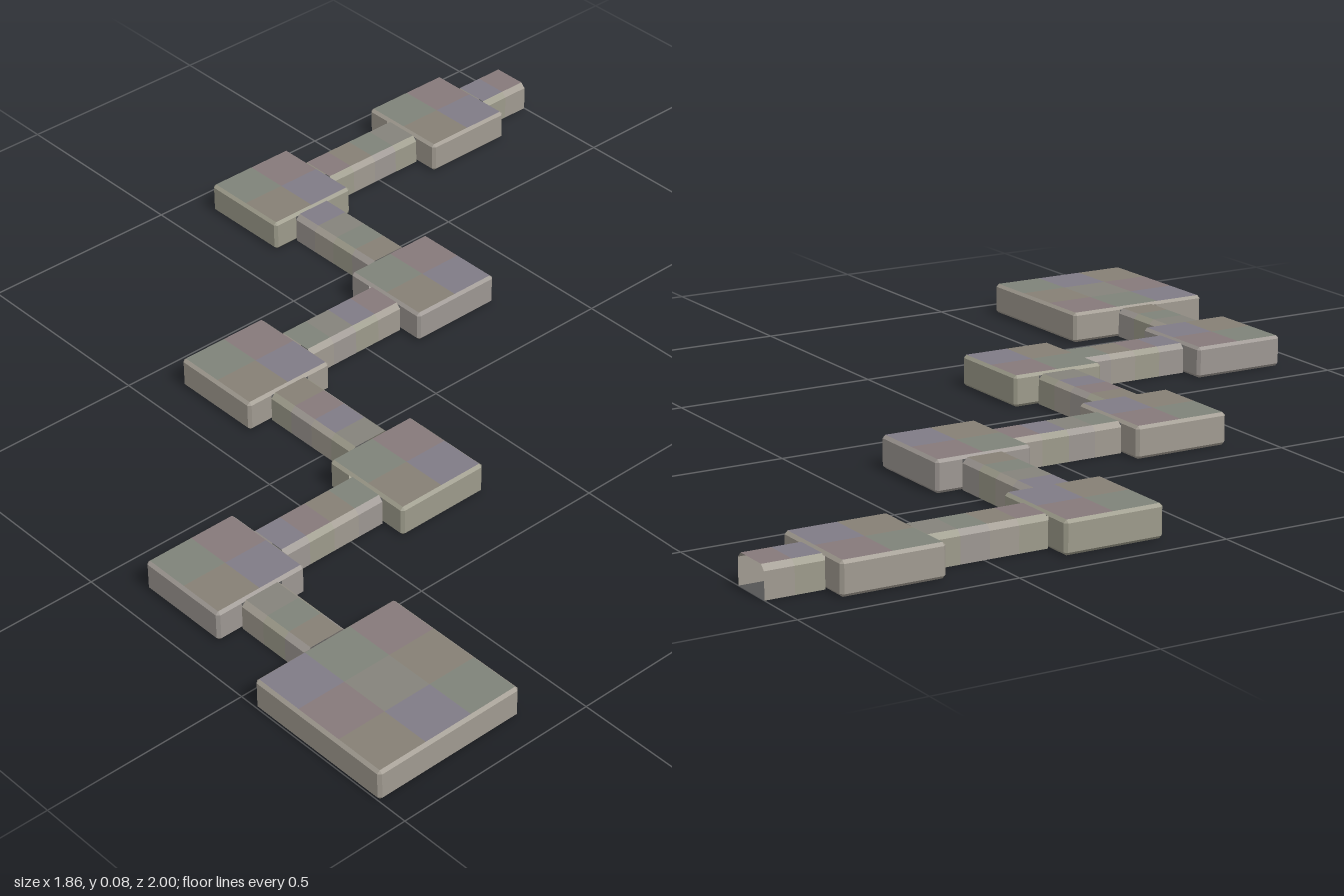
import * as THREE from 'three';

const H = 0.076;          // overall height
const BEVEL = 0.007;      // bevel around the rooms
const DOOR = 0.11;        // corridor and doorway width
const CEILINGS = [0x85837b, 0x86797a, 0x7f8379, 0x807b86, 0x868075];
const WALLS = [0xa09a90, 0x9c9691, 0x9c9a8a];
let tint = 0;
const next = (list) => list[tint++ % list.length];

const material = (color) =>
  new THREE.MeshStandardMaterial({ color, side: THREE.DoubleSide, flatShading: true });

function mesh(parent, name, geometry, color) {
  const m = new THREE.Mesh(geometry, material(color));
  m.name = name;
  parent.add(m);
  return m;
}

// Skin of quads between neighbouring loops; skip(layer, i) leaves an opening
function loft(loops, closed, skip = () => false) {
  const n = loops[0].length;
  const index = [];
  for (let k = 0; k < loops.length - 1; k++) {
    for (let i = 0; i < (closed ? n : n - 1); i++) {
      if (skip(k, i)) continue;
      const a = k * n + i, b = k * n + (i + 1) % n;
      index.push(a, b + n, b, a, a + n, b + n);
    }
  }
  const g = new THREE.BufferGeometry();
  g.setAttribute('position', new THREE.Float32BufferAttribute(loops.flat(2), 3));
  g.setIndex(index);
  g.computeVertexNormals();
  return g;
}

// Bevelled hollow room with full-height doorways on the sides listed in doors.
// Sides: 0 = +x, 1 = +z, 2 = -x, 3 = -z
function room(x, z, size, tiles, doors) {
  const group = new THREE.Group();
  group.name = 'room';
  group.position.set(x, 0, z);
  const h = size / 2, c = h - BEVEL, d = DOOR / 2;
  const ring = (y, r) => {
    const points = [];
    for (let s = 0; s < 4; s++) {
      const cos = [1, 0, -1, 0][s], sin = [0, 1, 0, -1][s];
      for (const t of [-c, -d, d, c]) points.push([r * cos - t * sin, y, r * sin + t * cos]);
    }
    return points;
  };
  const loops = [ring(0, c), ring(BEVEL, h), ring(H - BEVEL, h), ring(H, c)];
  const skip = (k, i) => k === 1 && i % 4 === 1 && doors.includes(i >> 2);
  mesh(group, 'roomWalls', loft(loops, true, skip), next(WALLS));

  // Floor slab and ceiling tiles
  mesh(group, 'roomFloor', new THREE.PlaneGeometry(2 * c, 2 * c).rotateX(Math.PI / 2), 0x555555);
  const t = 2 * c / tiles;
  for (let i = 0; i < tiles; i++) {
    for (let j = 0; j < tiles; j++) {
      const tile = mesh(group, 'ceilingTile', new THREE.PlaneGeometry(t, t).rotateX(-Math.PI / 2), next(CEILINGS));
      tile.position.set(-c + t * (i + 0.5), H, -c + t * (j + 0.5));
    }
  }
  return group;
}

// Open-ended corridor running along +z, with bevelled upper edges
function corridor(length) {
  const group = new THREE.Group();
  group.name = 'corridor';
  const w = DOOR / 2, top = H - 0.004, b = 0.012, segments = Math.max(1, Math.round(length / 0.07));
  const strip = (profile, z0, z1) =>
    loft([z0, z1].map((z) => profile.map(([x, y]) => [x, y, z])), false);
  for (let i = 0; i < segments; i++) {
    const z0 = length * i / segments, z1 = length * (i + 1) / segments;
    mesh(group, 'corridorCeiling', strip([[w - b, top], [b - w, top]], z0, z1), next(CEILINGS));
    const wall = next(WALLS);
    mesh(group, 'corridorWall', strip([[w, 0], [w, top - b], [w - b, top]], z0, z1), wall);
    mesh(group, 'corridorWall', strip([[b - w, top], [-w, top - b], [-w, 0]], z0, z1), wall);
  }
  mesh(group, 'corridorFloor', strip([[-w, 0], [w, 0]], 0, length), 0x555555);
  return group;
}

export function createModel() {
  const model = new THREE.Group();
  model.name = 'roomsAndCorridors';
  tint = 0;

  const X = [-0.81, -0.297, 0.217, 0.735], Z = [-0.745, -0.228, 0.287, 0.805];
  const S = 0.24, BIG = 0.382;
  // x, z, size, tiles per side, doorways
  const rooms = [
    [X[0], Z[0], S, 2, [1, 3]],
    [X[0], Z[1], S, 2, [0, 3]],
    [X[1], Z[1], S, 2, [1, 2]],
    [X[1], Z[2], S, 2, [0, 3]],
    [X[2], Z[2], S, 2, [1, 2]],
    [X[2], Z[3], S, 2, [0, 3]],
    [X[3], Z[3] + 0.004, BIG, 3, [2]],
  ];
  rooms.forEach((r) => model.add(room(...r)));

  // Corridors between consecutive rooms
  for (let i = 0; i < rooms.length - 1; i++) {
    const [x0, z0, s0] = rooms[i], [x1, z1, s1] = rooms[i + 1];
    const alongX = x1 !== x0;
    const c = corridor((alongX ? x1 - x0 : z1 - z0) - (s0 + s1) / 2);
    c.position.set(alongX ? x0 + s0 / 2 : x0, 0, alongX ? z0 : z0 + s0 / 2);
    if (alongX) c.rotation.y = Math.PI / 2;
    model.add(c);
  }

  // Open entrance corridor at the back
  const entrance = corridor(Z[0] - S / 2 + 1);
  entrance.name = 'entranceCorridor';
  entrance.position.set(X[0], 0, -1);
  model.add(entrance);
  return model;
}
